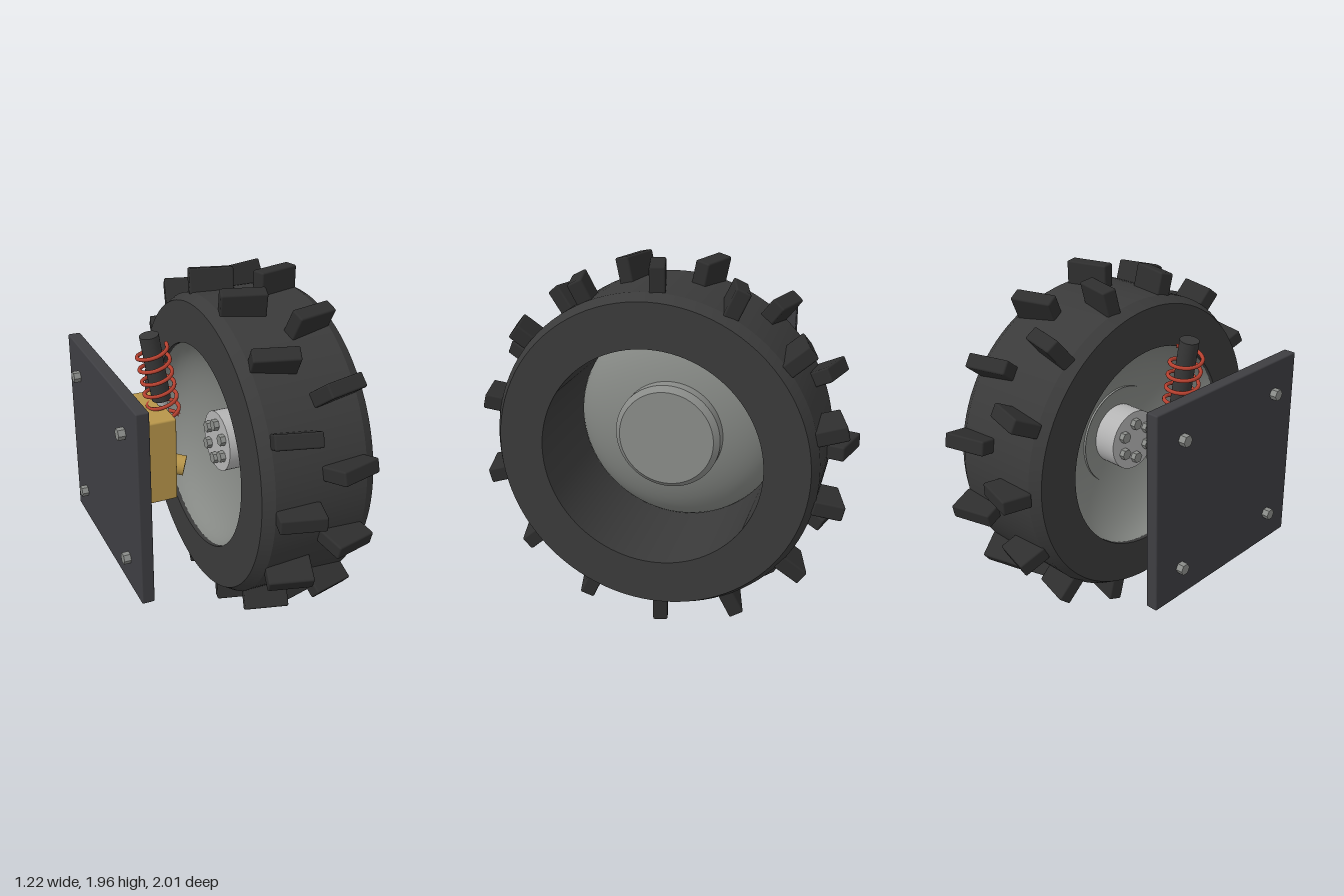
import * as THREE from 'three';
import { toCreasedNormals } from 'three/addons/utils/BufferGeometryUtils.js';
import { RoundedBoxGeometry } from 'three/addons/geometries/RoundedBoxGeometry.js';

const CY = 0.978; // axle height
const mat = (color, side = THREE.FrontSide) => new THREE.MeshStandardMaterial({ color, side });
const rubber = mat(0x3a3a3a);
const lugRubber = mat(0x2e2e2e);
const plateMetal = mat(0x3e3e42);
const darkMetal = mat(0x383838);
const steel = mat(0x8a8c89);
const rimSteel = mat(0x858884, THREE.DoubleSide);
const lightSteel = mat(0xb4b4b4);
const brass = mat(0xb8964a);
const springRed = mat(0xb5402f);

function add(parent, name, geometry, material, x = 0, y = 0, z = 0) {
  const mesh = new THREE.Mesh(geometry, material);
  mesh.name = name;
  mesh.position.set(x, y, z);
  parent.add(mesh);
  return mesh;
}

// Revolves [x, radius] points around the x axis
function latheX(points, segments = 72, crease = 0.4) {
  const g = new THREE.LatheGeometry(points.map(([x, r]) => new THREE.Vector2(r, x)), segments);
  g.rotateZ(-Math.PI / 2);
  return toCreasedNormals(g, crease);
}

// Cylinder running from a to b
function rod(parent, name, a, b, radius, material, segments = 24) {
  const mesh = add(parent, name, new THREE.CylinderGeometry(radius, radius, a.distanceTo(b), segments), material);
  mesh.position.copy(a).add(b).multiplyScalar(0.5);
  mesh.quaternion.setFromUnitVectors(new THREE.Vector3(0, 1, 0), b.clone().sub(a).normalize());
  return mesh;
}

function hexBolt(parent, x, y, z, radius, length) {
  const g = new THREE.CylinderGeometry(radius, radius, length, 6).rotateZ(Math.PI / 2);
  const material = steel.clone();
  material.flatShading = true;
  add(parent, 'hexBolt', g, material, x, y, z);
}

function buildWheel() {
  const wheel = new THREE.Group();
  wheel.name = 'wheel';
  wheel.position.y = CY;

  add(wheel, 'tire', latheX([
    [-0.03, 0.585], [-0.03, 0.82], [0.03, 0.855], [0.55, 0.855],
    [0.61, 0.82], [0.61, 0.585], [-0.03, 0.585],
  ], 96), rubber);

  // Two staggered rows of slanted tread lugs
  const lug = new RoundedBoxGeometry(0.243, 0.16, 0.08, 2, 0.01);
  const count = 28;
  for (let i = 0; i < count; i++) {
    const angle = (i / count) * Math.PI * 2;
    const inner = i % 2 === 0;
    const block = add(wheel, 'treadLug', lug, lugRubber,
      inner ? 0.145 : 0.43, Math.sin(angle) * 0.898, Math.cos(angle) * 0.898);
    block.rotation.set(Math.PI / 2 - angle, (inner ? -1 : 1) * 0.262, 0, 'YXZ');
  }

  // Domed rim, bulging outward
  const dome = [];
  for (let i = 0; i <= 14; i++) {
    const t = (i / 14) * Math.PI / 2;
    dome.push([-0.02 + 0.27 * Math.sin(t), Math.max(0.587 * Math.cos(t), 0)]);
  }
  add(wheel, 'rimDome', latheX(dome, 72, 1), rimSteel);
  add(wheel, 'rimCap', latheX([[0.2, 0.292], [0.28, 0.292], [0.31, 0.262], [0.31, 0]]), steel);

  // Hub on the inner side with its ring of bolts
  const hub = new THREE.CylinderGeometry(0.175, 0.175, 0.14, 40).rotateZ(Math.PI / 2);
  add(wheel, 'hub', hub, lightSteel, 0.17);
  for (let i = 0; i < 6; i++) {
    const a = (i / 6) * Math.PI * 2;
    hexBolt(wheel, 0.09, Math.cos(a) * 0.105, Math.sin(a) * 0.105, 0.033, 0.04);
  }
  return wheel;
}

function buildMount() {
  const mount = new THREE.Group();
  mount.name = 'mount';
  add(mount, 'mountPlate', new RoundedBoxGeometry(0.07, 1.112, 1.112, 2, 0.008), plateMetal, -0.541, CY, 0);
  for (const sy of [-1, 1]) {
    for (const sz of [-1, 1]) hexBolt(mount, -0.594, CY + sy * 0.372, sz * 0.372, 0.032, 0.04);
  }
  add(mount, 'gearBox', new RoundedBoxGeometry(0.285, 0.49, 0.39, 3, 0.012), brass, -0.366, 1.03, 0);
  // Short angled output stub
  const end = new THREE.Vector3(-0.147, 0.932, 0.115);
  const start = end.clone().addScaledVector(new THREE.Vector3(0.85, -0.18, 0.49).normalize(), -0.18);
  rod(mount, 'outputStub', start, end, 0.056, brass, 20);
  return mount;
}

function buildShock() {
  const shock = new THREE.Group();
  shock.name = 'shockAbsorber';
  const top = new THREE.Vector3(-0.295, 1.685, 0);
  const bottom = new THREE.Vector3(-0.187, 1.03, 0);
  const at = (t) => top.clone().lerp(bottom, t);
  rod(shock, 'shockBody', top, at(0.57), 0.052, darkMetal);
  rod(shock, 'shockShaft', at(0.5), bottom, 0.028, lightSteel, 16);

  // Coil spring wound around the shock axis
  const axis = bottom.clone().sub(top).normalize();
  const side = new THREE.Vector3(-axis.y, axis.x, 0);
  const front = new THREE.Vector3(0, 0, 1);
  const turns = 6, steps = turns * 10, points = [];
  for (let i = 0; i <= steps; i++) {
    const a = (i / steps) * turns * Math.PI * 2;
    points.push(at(0.11 + 0.67 * (i / steps))
      .addScaledVector(side, Math.cos(a) * 0.085)
      .addScaledVector(front, Math.sin(a) * 0.085));
  }
  const path = new THREE.CatmullRomCurve3(points);
  add(shock, 'coilSpring', new THREE.TubeGeometry(path, 180, 0.011, 8), springRed);
  return shock;
}

export function createModel() {
  const model = new THREE.Group();
  model.name = 'wheelAssembly';
  model.add(buildWheel(), buildMount(), buildShock());
  return model;
}
